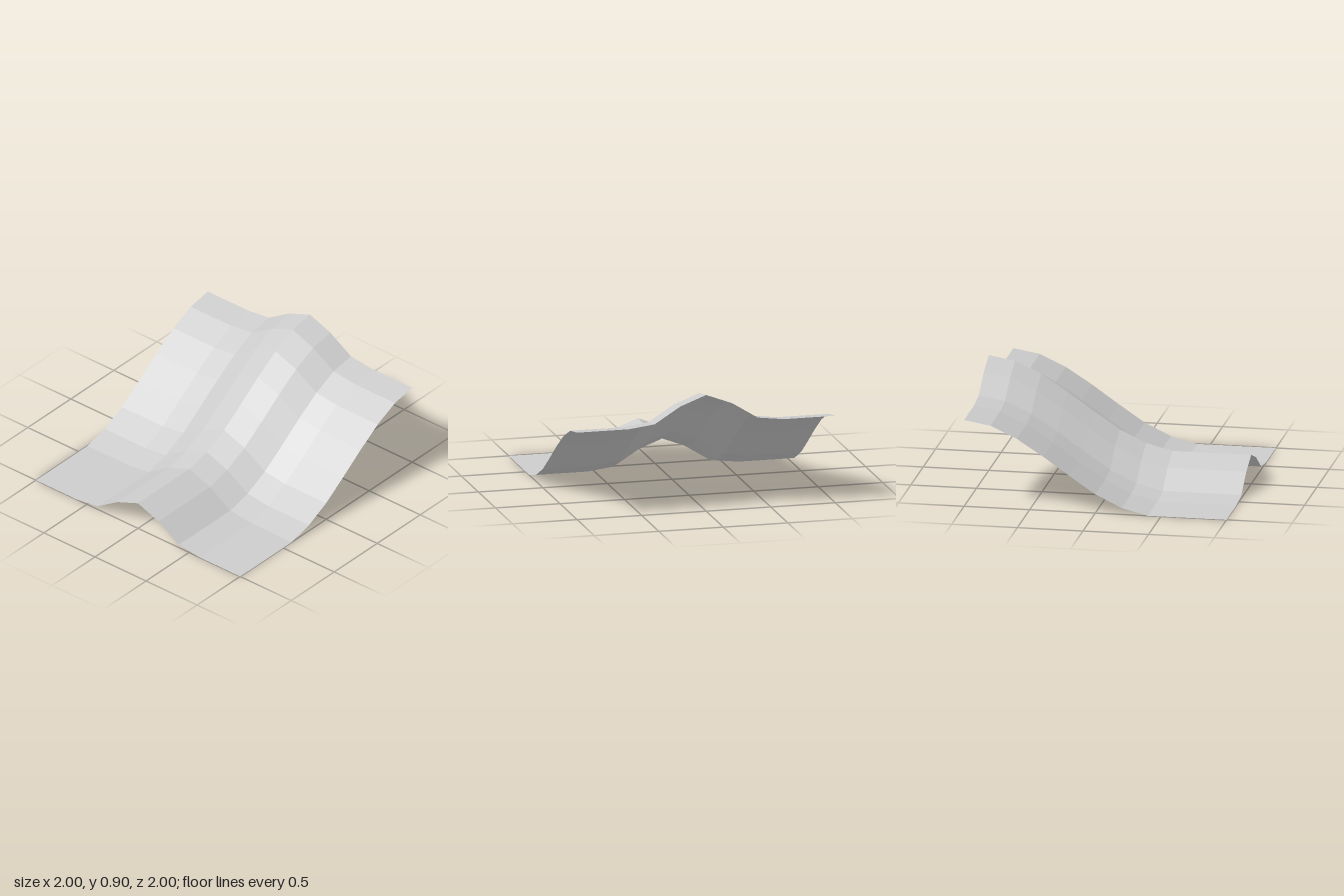
import * as THREE from 'three';

// Heights at 0.2 steps: a slope rising along x, plus a ridge across z
const SLOPE = [0, 0, 0, 0, 0.05, 0.146, 0.28, 0.42, 0.547, 0.638, 0.672];
const RIDGE = [0, 0, 0, 0.025, 0.15, 0.226, 0.15, 0.025, 0, 0, 0];

export function createModel() {
  const group = new THREE.Group();
  group.name = 'terrainTile';

  const grey = new THREE.MeshStandardMaterial({ color: 0xcccccc });
  grey.name = 'lightGrey';
  grey.side = THREE.DoubleSide;
  grey.flatShading = true;

  // Open sheet of 10 x 10 cells, lifted by the sum of both profiles
  const sheet = new THREE.PlaneGeometry(2, 2, 10, 10).rotateX(-Math.PI / 2);
  const pos = sheet.attributes.position;
  const step = (v) => Math.round((v + 1) * 5);
  for (let i = 0; i < pos.count; i++) {
    pos.setY(i, SLOPE[step(pos.getX(i))] + RIDGE[step(pos.getZ(i))]);
  }

  // Separate faces keep the facets flat
  const faceted = sheet.toNonIndexed();
  faceted.computeVertexNormals();

  const slope = new THREE.Mesh(faceted, grey);
  slope.name = 'ridgedSlope';
  group.add(slope);
  return group;
}
